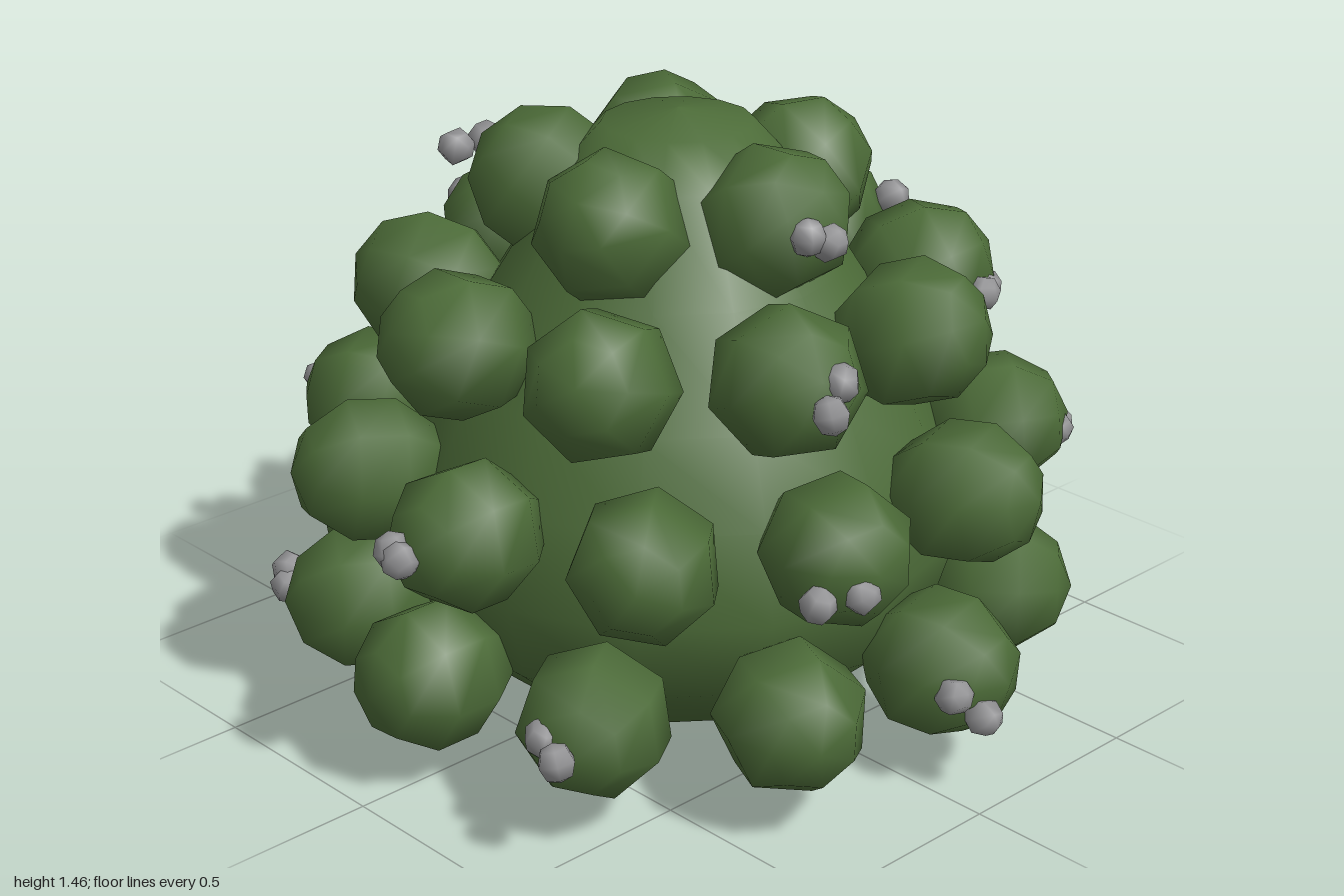
import * as THREE from 'three';

export function createModel() {
  const bush = new THREE.Group();
  bush.name = 'bush';

  const leafGreen = new THREE.MeshStandardMaterial({ color: 0x4c6b38, side: THREE.DoubleSide });
  leafGreen.name = 'leafGreen';
  const berryGrey = new THREE.MeshStandardMaterial({ color: 0x939395 });
  berryGrey.name = 'berryGrey';

  // Core: a rounded mound with a shallow pointed underside
  const profile = [
    [0, 0], [0.46, 0.085], [0.64, 0.25], [0.7, 0.45], [0.65, 0.66], [0.56, 0.86],
    [0.41, 1.1], [0.27, 1.33], [0.18, 1.43], [0, 1.46],
  ].map(([r, y]) => new THREE.Vector2(r, y));
  const core = new THREE.Mesh(new THREE.LatheGeometry(profile, 14), leafGreen);
  core.name = 'core';
  bush.add(core);

  // Leaf clumps: chunky balls with an opening towards the core, in four rings
  const clumpShape = new THREE.SphereGeometry(1, 7, 4, 0, Math.PI * 2, 0, Math.PI * 0.8);
  const up = new THREE.Vector3(0, 1, 0);
  const rings = [
    { count: 11, start: 8, radius: 0.78, y: 0.265, tilt: 0, size: 0.18 },
    { count: 11, start: 16.4, radius: 0.765, y: 0.65, tilt: 6, size: 0.177 },
    { count: 9, start: 20, radius: 0.6, y: 1.0, tilt: 20, size: 0.182 },
    { count: 5, start: 0, radius: 0.315, y: 1.26, tilt: 35, size: 0.185 },
  ];
  rings.forEach(({ count, start, radius, y, tilt, size }, ring) => {
    const group = new THREE.Group();
    group.name = `leafRing${ring + 1}`;
    const t = THREE.MathUtils.degToRad(tilt);
    for (let i = 0; i < count; i++) {
      const a = THREE.MathUtils.degToRad(start + (360 / count) * i);
      const out = new THREE.Vector3(Math.sin(a) * Math.cos(t), Math.sin(t), Math.cos(a) * Math.cos(t));
      const clump = new THREE.Mesh(clumpShape, leafGreen);
      clump.name = 'leafClump';
      clump.position.set(Math.sin(a) * radius, y, Math.cos(a) * radius);
      clump.scale.set(size, 0.19, size);
      clump.quaternion.setFromUnitVectors(up, out);
      clump.rotateY(i * 1.3 + ring);
      group.add(clump);
    }
    bush.add(group);
  });

  // Berries: small six-sided beads resting in pairs on the clumps
  const berryShape = new THREE.SphereGeometry(0.046, 6, 4);
  const pairs = [
    [[-0.06, 1.28, 0.48], [-0.01, 1.26, 0.5]],
    [[-0.29, 1.32, -0.46], [-0.22, 1.33, -0.43]],
    [[-0.27, 1.0, 0.76], [-0.21, 1.05, 0.73]],
    [[0.56, 0.98, 0.47], [0.6, 0.98, 0.44]],
    [[0.73, 1.07, 0.02], [0.76, 1.03, -0.04]],
    [[0, 1.05, -0.79], [0.1, 1.01, -0.79]],
    [[-0.955, 0.66, 0.12], [-0.95, 0.67, 0.09]],
    [[-0.36, 0.6, 0.82], [-0.29, 0.62, 0.88]],
    [[0.68, 0.64, 0.62], [0.72, 0.63, 0.59]],
    [[0.43, 0.76, -0.81], [0.42, 0.7, -0.85]],
    [[-0.45, 0.66, -0.83], [-0.42, 0.62, -0.81]],
    [[-0.86, 0.28, 0.52], [-0.82, 0.29, 0.43]],
    [[0, 0.27, 0.91], [0.06, 0.21, 0.95]],
    [[0.92, 0.24, 0.23], [0.955, 0.26, 0.17]],
    [[0.88, 0.29, -0.31], [0.84, 0.26, -0.39]],
    [[0.15, 0.32, -0.92], [0.21, 0.29, -0.955]],
    [[-0.77, 0.28, -0.57], [-0.75, 0.31, -0.59]],
  ];
  const berries = new THREE.Group();
  berries.name = 'berries';
  pairs.flat().forEach((p, i) => {
    const berry = new THREE.Mesh(berryShape, berryGrey);
    berry.name = 'berry';
    berry.position.set(...p);
    berry.rotation.set(i * 0.7, i * 1.1, 0);
    berries.add(berry);
  });
  bush.add(berries);

  return bush;
}
